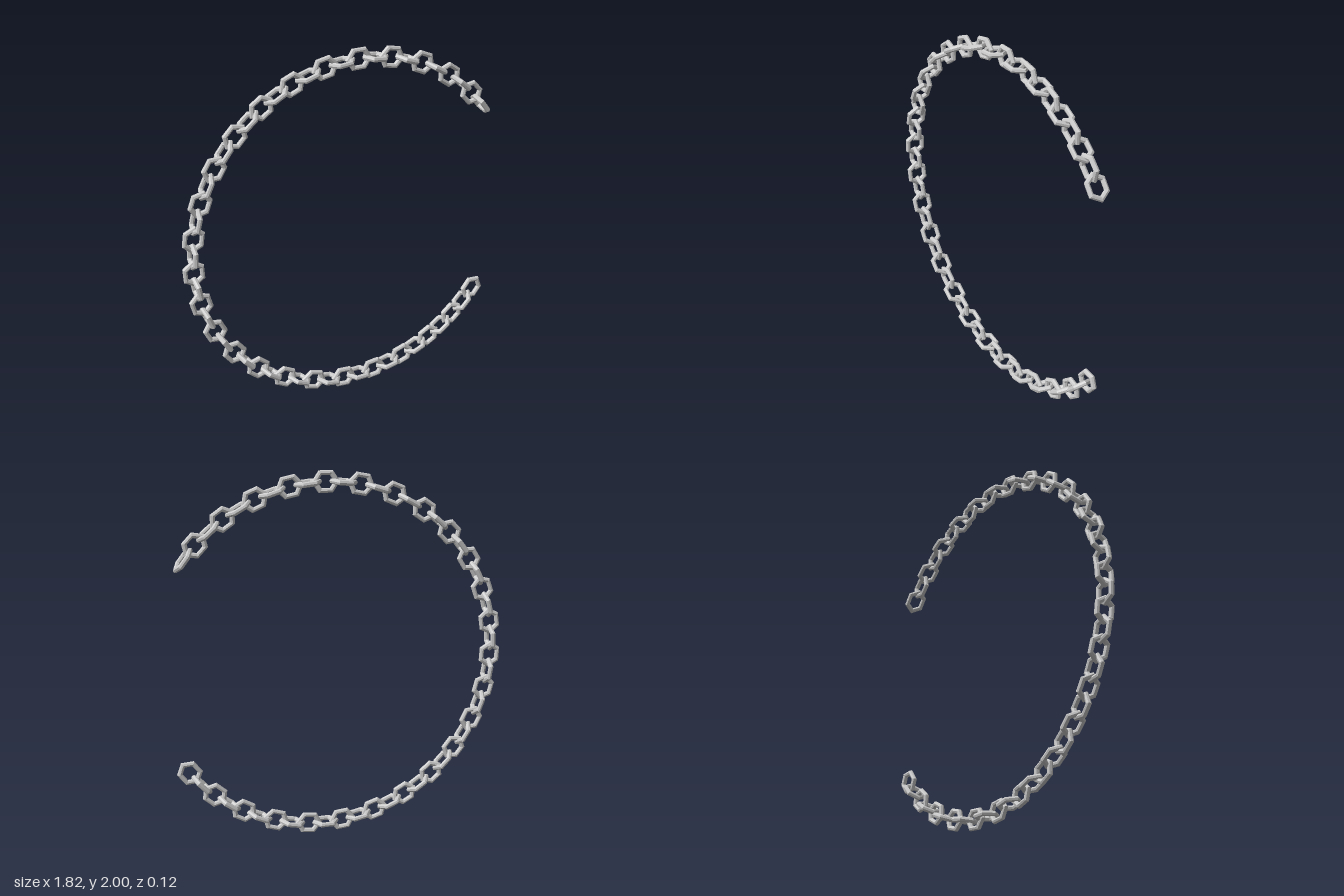
import * as THREE from 'three';

const LINKS = 50;
const RADIUS = 0.942;                       // arc the chain follows
const CENTER = new THREE.Vector2(0.087, 1.0);
const START = THREE.MathUtils.degToRad(37.7);
const STEP = THREE.MathUtils.degToRad(5.82);

export function createModel() {
  const chain = new THREE.Group();
  chain.name = 'chain';

  const material = new THREE.MeshStandardMaterial({ color: 0xcccccc, flatShading: true });

  // Hexagonal link, stretched along its length (x)
  const linkGeometry = new THREE.TorusGeometry(0.0525, 0.0145, 8, 6);
  linkGeometry.scale(1.14, 1, 1);

  // Links along an open arc, every second one turned a quarter about its length
  for (let i = 0; i < LINKS; i++) {
    const angle = START + i * STEP;
    const link = new THREE.Mesh(linkGeometry, material);
    link.name = i % 2 ? 'flatLink' : 'crossLink';
    link.position.set(
      CENTER.x + RADIUS * Math.cos(angle),
      CENTER.y + RADIUS * Math.sin(angle),
      0
    );
    link.rotation.order = 'ZYX';
    link.rotation.set(i % 2 ? 0 : Math.PI / 2, 0, angle + Math.PI / 2);
    chain.add(link);
  }
  return chain;
}
